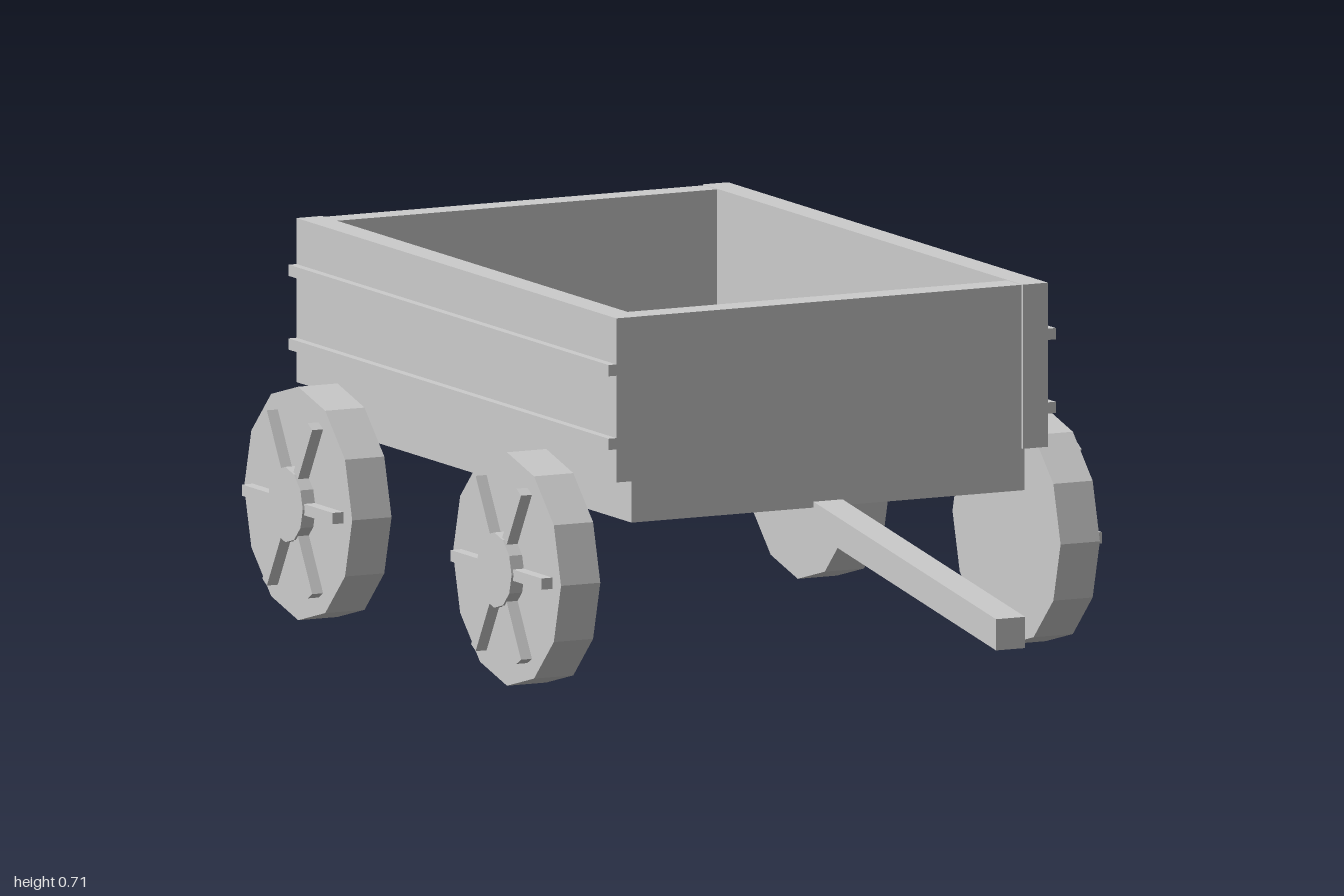
import * as THREE from 'three';

const wood = new THREE.MeshStandardMaterial({ color: 0xcccccc, flatShading: true });
wood.name = 'plain grey';

function add(parent, name, geometry, x = 0, y = 0, z = 0) {
  const mesh = new THREE.Mesh(geometry, wood);
  mesh.name = name;
  mesh.position.set(x, y, z);
  parent.add(mesh);
  return mesh;
}

// Box given by its limits on each axis
function block(parent, name, [x0, x1], [y0, y1], [z0, z1]) {
  return add(parent, name, new THREE.BoxGeometry(x1 - x0, y1 - y0, z1 - z0),
    (x0 + x1) / 2, (y0 + y1) / 2, (z0 + z1) / 2);
}

// Twelve-sided wheel, its spoked face towards +x
function makeWheel() {
  const wheel = new THREE.Group();
  wheel.name = 'wheel';
  const disc = new THREE.CylinderGeometry(0.217, 0.217, 0.081, 12).rotateZ(-Math.PI / 2);
  add(wheel, 'wheelDisc', disc);
  const hub = new THREE.CylinderGeometry(0.07, 0.07, 0.03, 12).rotateZ(-Math.PI / 2);
  add(wheel, 'hub', hub, 0.052);
  for (let i = 0; i < 6; i++) {
    const spoke = new THREE.BoxGeometry(0.03, 0.021, 0.122);
    spoke.translate(0.048, 0, 0.121).rotateX(i * Math.PI / 3);
    add(wheel, 'spoke', spoke);
  }
  return wheel;
}

export function createModel() {
  const wagon = new THREE.Group();
  wagon.name = 'wagon';

  // Bed with its floor and end boards
  block(wagon, 'bed', [-0.405, 0.405], [0.322, 0.402], [-0.98, 0.267]);
  block(wagon, 'frontBoard', [-0.394, 0.394], [0.402, 0.706], [0.222, 0.278]);
  block(wagon, 'backBoard', [-0.394, 0.394], [0.402, 0.706], [-0.995, -0.943]);
  // Underside of the end boards where they overhang the bed
  for (const s of [-1, 1]) {
    // Side boards with two long rails
    const side = [0.393, 0.445].map(v => v * s).sort((a, b) => a - b);
    const rail = [0.44, 0.461].map(v => v * s).sort((a, b) => a - b);
    block(wagon, 'sideBoard', side, [0.402, 0.707], [-1, 0.284]);
    for (const y of [0.474, 0.611]) {
      block(wagon, 'sideRail', rail, [y - 0.0105, y + 0.0105], [-1, 0.284]);
    }
    // Front and rear wheels, spokes outwards
    for (const z of [0.06, -0.778]) {
      const wheel = makeWheel();
      wheel.position.set(s * 0.515, 0.217, z);
      if (s < 0) wheel.rotation.y = Math.PI;
      wagon.add(wheel);
    }
  }

  // Sloping draw bar with upright ends
  const profile = new THREE.Shape([[0.26, 0.277], [1, 0.163], [1, 0.221], [0.26, 0.334]]
    .map(([z, y]) => new THREE.Vector2(-z, y)).reverse());
  const bar = new THREE.ExtrudeGeometry(profile, { depth: 0.06, bevelEnabled: false });
  bar.translate(0, 0, -0.03).rotateY(Math.PI / 2);
  add(wagon, 'drawBar', bar);

  return wagon;
}
